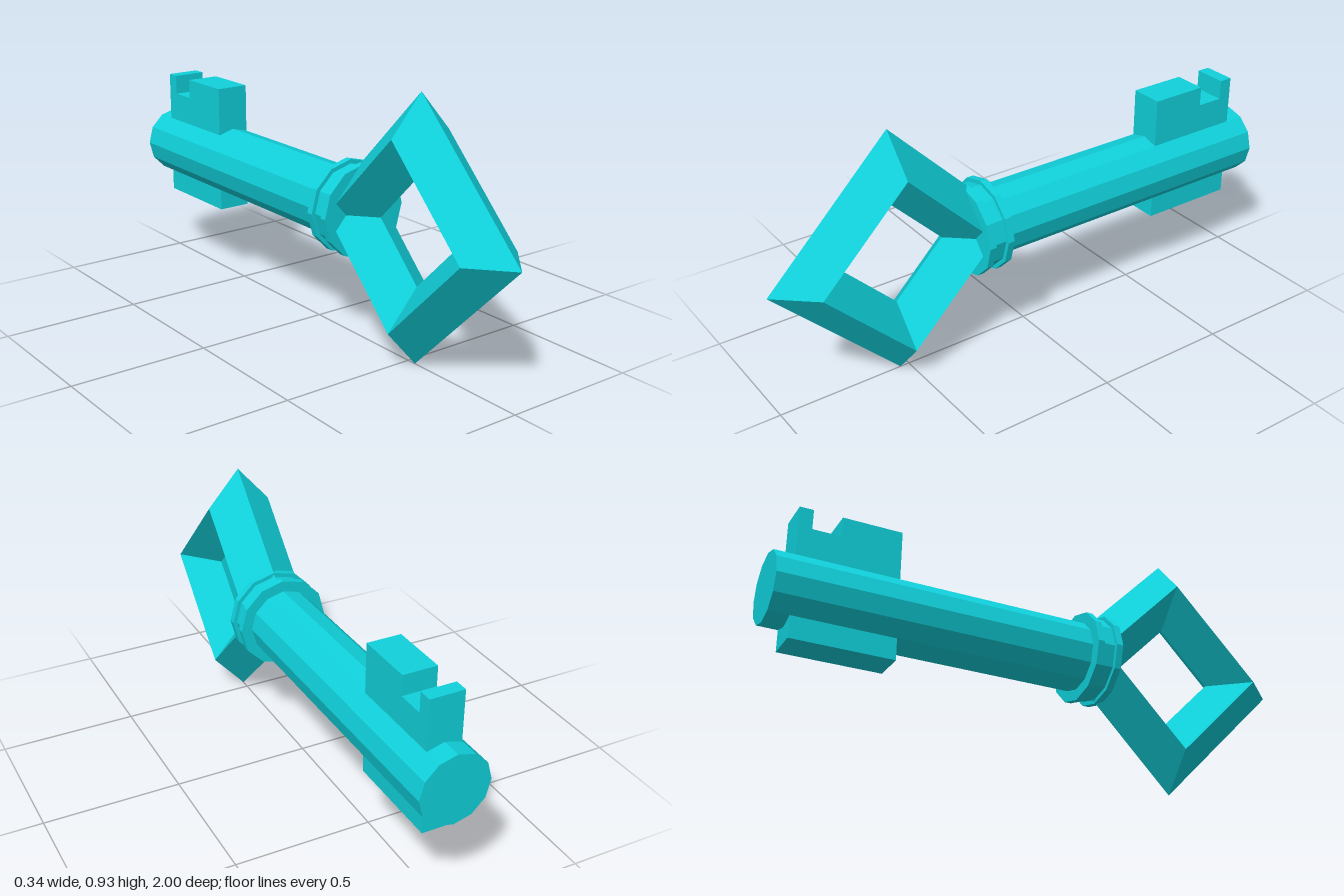
import * as THREE from 'three';

const AXIS_Y = 0.466; // height of the key's long axis

export function createModel() {
  const key = new THREE.Group();
  key.name = 'key';
  const material = new THREE.MeshStandardMaterial({ color: 0x10d0da, flatShading: true });

  const add = (name, geometry, z = 0) => {
    const mesh = new THREE.Mesh(geometry, material);
    mesh.name = name;
    mesh.position.set(0, AXIS_Y, z);
    key.add(mesh);
  };

  // Diamond-shaped bow: a four-sided ring with a four-sided section, slightly flattened
  const bow = new THREE.TorusGeometry(0.328, 0.138, 4, 4);
  bow.scale(1, 1, 0.88).rotateY(Math.PI / 2);
  add('bow', bow, 0.534);

  // Twelve-sided shaft
  const shaft = new THREE.CylinderGeometry(0.127, 0.127, 1.2, 12);
  shaft.rotateX(Math.PI / 2);
  add('shaft', shaft, -0.4);

  // Collar with a raised lip at each end (radius, z)
  const profile = [
    [0, 0.155], [0.168, 0.155], [0.168, 0.18], [0.153, 0.18],
    [0.153, 0.23], [0.168, 0.23], [0.168, 0.255], [0, 0.255],
  ].map(([r, z]) => new THREE.Vector2(r, z));
  const collar = new THREE.LatheGeometry(profile, 12);
  collar.rotateX(Math.PI / 2);
  add('collar', collar);

  // Notched bit passing through the shaft, drawn as (distance back, height from axis)
  const outline = [
    [0.56, -0.19], [0.927, -0.19], [0.927, 0.292], [0.878, 0.292],
    [0.878, 0.219], [0.776, 0.219], [0.776, 0.292], [0.56, 0.292],
  ].map(([d, y]) => new THREE.Vector2(d, y));
  const bit = new THREE.ExtrudeGeometry(new THREE.Shape(outline), { depth: 0.124, bevelEnabled: false });
  bit.translate(0, 0, -0.062).rotateY(Math.PI / 2);
  add('bit', bit);

  return key;
}
